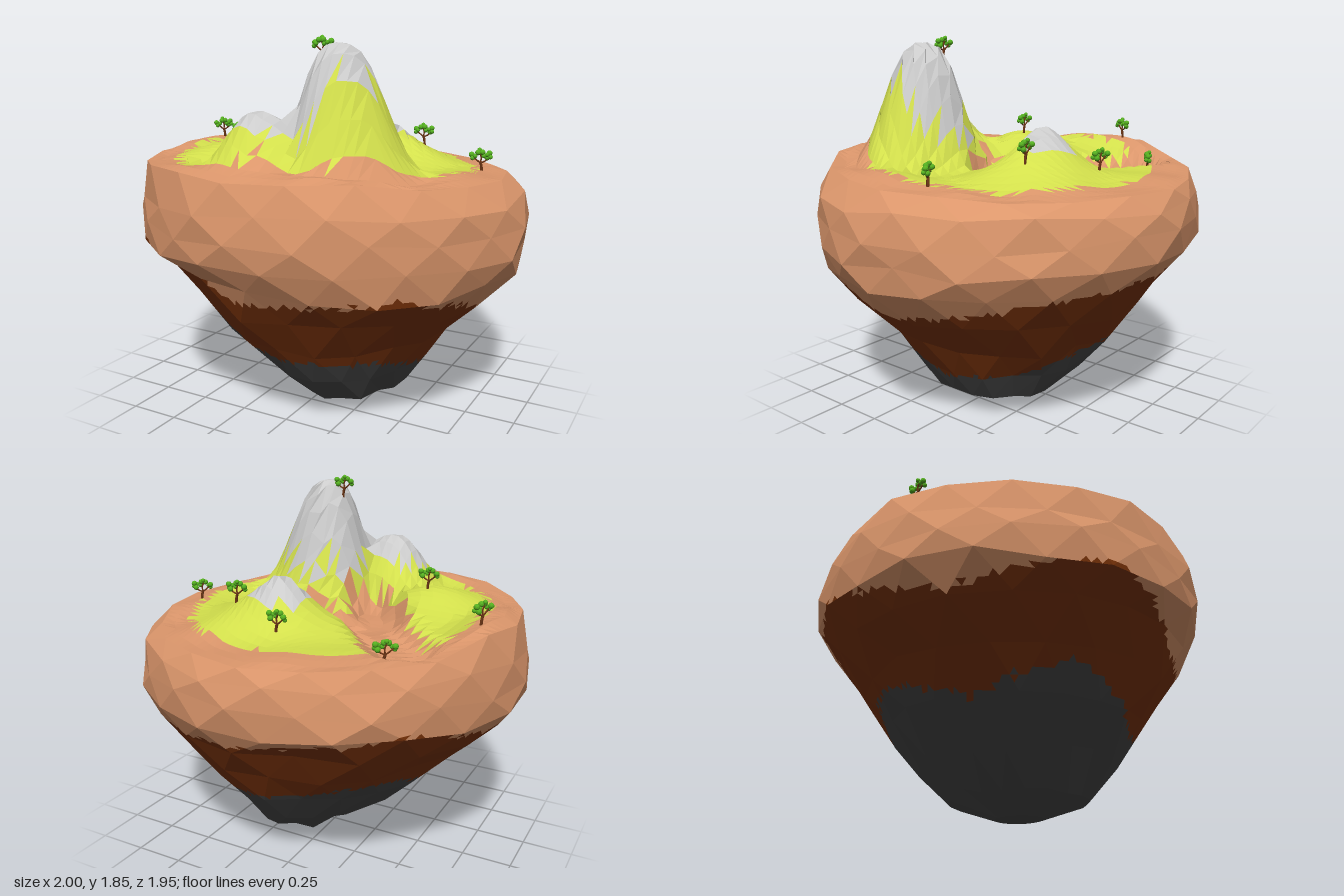
import * as THREE from 'three';
import { mergeGeometries } from 'three/addons/utils/BufferGeometryUtils.js';

// Each rim edge is split SUB times, so the rim meets a square grid of GRID cells a side
const SIDES = 20, SUB = 6, GRID = SIDES * SUB / 4;

const hash = (a, b) => {
  const s = Math.sin(a * 127.1 + b * 311.7) * 43758.5453;
  return s - Math.floor(s);
};
const { lerp, clamp, smoothstep } = THREE.MathUtils;

// Rings from rim to tip: y, then left, right, front and back extents
const RINGS = [
  [1.2, -0.94, 0.88, 0.93, -0.92],
  [1.11, -0.985, 0.965, 0.97, -0.96],
  [1.0, -1, 1, 0.975, -0.975],
  [0.88, -0.99, 1, 0.96, -0.965],
  [0.76, -0.88, 0.97, 0.88, -0.875],
  [0.6, -0.71, 0.83, 0.78, -0.76],
  [0.42, -0.55, 0.64, 0.65, -0.63],
  [0.25, -0.34, 0.52, 0.51, -0.49],
  [0.11, -0.14, 0.43, 0.37, -0.35],
  [0.015, 0.02, 0.23, 0.14, -0.11],
  [0, 0.12, 0.12, 0.01, 0.01],
];

// Mounds: x, z, height, then reach to left, right, front, back, then steepness
const MOUNDS = [
  [0.21, 0.36, 0.6, 0.19, 0.28, 0.25, 0.22, 3],
  [-0.08, 0.55, 0.29, 0.21, 0.28, 0.2, 0.2, 2.3],
  [0.13, -0.3, 0.25, 0.18, 0.25, 0.15, 0.2, 1.6],
  [-0.45, 0.24, 0.11, 0.25, 0.2, 0.2, 0.2, 2],
  [-0.84, -0.1, 0.07, 0.12, 0.15, 0.4, 0.3, 2],
  [0.05, 0.76, 0.07, 0.6, 0.6, 0.15, 0.25, 2],
  [0, 0.7, 0.15, 0.18, 0.18, 0.1, 0.15, 1.6],
  [0.72, 0, 0.04, 0.15, 0.12, 0.5, 0.4, 2],
];

// Ravine centre lines: x1, z1, x2, z2, half width
const RAVINES = [
  [-0.56, -0.42, -0.28, -0.1, 0.15],
  [-0.28, -0.1, 0.16, -0.01, 0.1],
  [-0.28, -0.02, -0.1, 0.2, 0.12],
];

// Bare rock caps: x, z, x radius, z radius
const ROCKS = [
  [0.22, 0.32, 0.21, 0.19], [-0.08, 0.54, 0.18, 0.13],
  [0.13, -0.33, 0.15, 0.13], [0.14, 0.5, 0.13, 0.1],
];

// Distance to the nearest ravine, 1 at its edge
function ravine(x, z) {
  return Math.min(...RAVINES.map(([x1, z1, x2, z2, w]) => {
    const dx = x2 - x1, dz = z2 - z1;
    const t = clamp(((x - x1) * dx + (z - z1) * dz) / (dx * dx + dz * dz), 0, 1);
    return Math.hypot(x - x1 - dx * t, z - z1 - dz * t) / w;
  }));
}

function height(x, z) {
  let mound = 0;
  for (const [cx, cz, h, l, r, f, b, p] of MOUNDS) {
    const d = Math.hypot((x - cx) / (x < cx ? l : r), (z - cz) / (z > cz ? f : b));
    mound = Math.max(mound, h * Math.exp(-(d ** p)));
  }
  const v = 1 - smoothstep(ravine(x, z), 0.4, 1.3);
  const ripple = 0.012 * Math.sin(x * 11 + z * 4) * Math.cos(z * 9 - x * 3);
  return 1.205 + 0.03 * z - 0.02 * x + ripple + mound * (1 - v) - 0.08 * v;
}

// Corner of a ring, slightly uneven; odd rings are turned half a step
function ringCorner(ring, k) {
  const [y, l, r, f, b] = RINGS[ring];
  const i = k % SIDES;
  const a = ((i + (ring % 2) / 2) / SIDES) * Math.PI * 2;
  const uneven = i % 5 === 0 ? 1 : 1 - 0.03 * hash(ring, i);
  const x = (l + r) / 2 + ((r - l) / 2) * Math.cos(a) * uneven;
  const z = (f + b) / 2 + ((f - b) / 2) * Math.sin(a) * uneven;
  const lift = ring < 9 ? 0.05 * (hash(i, ring + 9) - 0.5) : 0;
  return new THREE.Vector3(x, ring === 0 ? height(x, z) : y + lift, z);
}

// Ground point for a corner (a, b) of the square grid, -1 to 1 each way, spread over the rim outline
function groundPoint(a, b) {
  const r = Math.max(Math.abs(a), Math.abs(b));
  if (r === 0) return new THREE.Vector3(0, height(0, 0), 0);
  let turn = Math.abs(a) >= Math.abs(b) ? b / a / 8 + (a < 0 ? 0.5 : 0) : 0.25 - a / b / 8 + (b < 0 ? 0.5 : 0);
  turn = (turn + 1) % 1;
  const s = Math.round(turn * SIDES * 1e6) / 1e6, k = Math.floor(s);
  const rim = ringCorner(0, k).lerp(ringCorner(0, k + 1), s - k);
  if (r > 0.999) return rim;
  return new THREE.Vector3(rim.x * r, height(rim.x * r, rim.z * r), rim.z * r);
}

// Layer boundary heights at eight compass directions, from +x towards +z
const SOIL_TOP = [0.6, 0.76, 0.7, 0.9, 0.76, 0.9, 0.8, 0.74];
const STONE_TOP = [0.22, 0.36, 0.36, 0.56, 0.42, 0.54, 0.44, 0.28];
function around(table, x, z) {
  const t = ((Math.atan2(z, x) / (Math.PI * 2) + 1) % 1) * 8;
  const i = Math.floor(t);
  return lerp(table[i % 8], table[(i + 1) % 8], t - i);
}

// Which layer a face belongs to
function layerOf(c, onTop) {
  const n = hash(c.x * 9, c.z * 9 + c.y) - 0.5;
  if (!onTop) {
    const y = c.y + n * 0.03;
    if (y < around(STONE_TOP, c.x, c.z)) return 'stoneBase';
    return y < around(SOIL_TOP, c.x, c.z) ? 'soil' : 'sand';
  }
  if (ROCKS.some(([x, z, rx, rz]) => Math.hypot((c.x - x) / rx, (c.z - z) / rz) < 1 + n * 0.2)) return 'rockCaps';
  const edge = 0.72 + (c.x < 0 && c.z > -0.3 ? 0.06 : 0) + n * 0.04;
  return Math.hypot(c.x, c.z) < edge && ravine(c.x, c.z) > 1 + n * 0.2 ? 'grass' : 'sand';
}

const COLORS = { sand: 0xdb966b, soil: 0x7c3409, stoneBase: 0x484848, grass: 0xd3e04c, rockCaps: 0xc2c2c2 };
const material = color => new THREE.MeshStandardMaterial({ color, flatShading: true });

function createIsland() {
  const layers = {};
  for (const name in COLORS) layers[name] = [];
  const face = (a, b, c, onTop) => {
    const mid = a.clone().add(b).add(c).divideScalar(3);
    layers[layerOf(mid, onTop)].push(...a, ...b, ...c);
  };

  // Top ground
  const ground = Array.from({ length: GRID + 1 }, (_, i) => Array.from({ length: GRID + 1 },
    (_, j) => groundPoint(2 * i / GRID - 1, 2 * j / GRID - 1)));
  for (let i = 0; i < GRID; i++) {
    for (let j = 0; j < GRID; j++) {
      const a = ground[i][j], b = ground[i][j + 1], c = ground[i + 1][j + 1], d = ground[i + 1][j];
      if ((i < GRID / 2) === (j < GRID / 2)) { face(a, b, d, true); face(b, c, d, true); }
      else { face(a, b, c, true); face(a, c, d, true); }
    }
  }

  // Large flat facet, cut into small pieces so the layer edges come out ragged
  const facet = (a, b, c) => {
    const at = (i, j) => a.clone().multiplyScalar(1 - (i + j) / SUB)
      .addScaledVector(b, i / SUB).addScaledVector(c, j / SUB);
    for (let i = 0; i < SUB; i++) {
      for (let j = 0; i + j < SUB; j++) {
        face(at(i, j), at(i + 1, j), at(i, j + 1), false);
        if (i + j < SUB - 1) face(at(i + 1, j), at(i + 1, j + 1), at(i, j + 1), false);
      }
    }
  };

  // Underside
  for (let ring = 0; ring < RINGS.length - 1; ring++) {
    const last = ring === RINGS.length - 2;
    for (let k = 0; k < SIDES; k++) {
      const a = ringCorner(ring, k), b = ringCorner(ring, k + 1);
      const d = ringCorner(ring + 1, k), c = ringCorner(ring + 1, k + 1);
      facet(a, b, ring % 2 ? c : d);
      if (!last) facet(ring % 2 ? a : b, c, d);
    }
  }

  const island = new THREE.Group();
  island.name = 'island';
  for (const name in layers) {
    const geometry = new THREE.BufferGeometry();
    geometry.setAttribute('position', new THREE.Float32BufferAttribute(layers[name], 3));
    geometry.computeVertexNormals();
    const mesh = new THREE.Mesh(geometry, material(COLORS[name]));
    mesh.name = name;
    island.add(mesh);
  }
  return island;
}

// Small tree: forked trunk and round leaf clumps in a flat fan
const CLUMPS = [
  [-0.042, 0.056, 0.006], [-0.044, 0.072, -0.006], [-0.03, 0.066, 0.01], [-0.016, 0.083, 0.007],
  [-0.006, 0.094, -0.006], [0.006, 0.084, 0.006], [0.012, 0.066, 0.008], [0.032, 0.056, -0.007],
  [0.046, 0.06, 0.006], [0.042, 0.078, -0.003], [0.028, 0.072, 0.008],
];
function createTree() {
  const limb = (r, ...pts) => new THREE.TubeGeometry(
    new THREE.CatmullRomCurve3(pts.map(p => new THREE.Vector3(...p))), 4, r, 5);
  const trunk = new THREE.Mesh(mergeGeometries([
    limb(0.007, [0.006, -0.02, 0], [0.004, 0.015, 0], [-0.002, 0.035, 0]),
    limb(0.004, [-0.002, 0.032, 0], [-0.02, 0.046, 0], [-0.036, 0.06, 0]),
    limb(0.004, [-0.002, 0.032, 0], [0.02, 0.04, 0], [0.038, 0.058, 0]),
    limb(0.004, [-0.002, 0.032, 0], [0.002, 0.06, 0], [-0.01, 0.082, 0]),
  ]), material(0x6a3414));
  trunk.name = 'trunk';
  const leaves = new THREE.Mesh(mergeGeometries(CLUMPS.map((p, i) =>
    new THREE.IcosahedronGeometry(0.011 + 0.003 * (i % 2), 1).translate(...p))), material(0x55b020));
  leaves.name = 'leaves';
  const tree = new THREE.Group();
  tree.add(trunk, leaves);
  return tree;
}

// Tree places: x, z, turn
const TREES = [
  [0.12, 0.33, 0], [-0.42, 0.22, 0], [-0.83, -0.18, 1.1], [0.73, -0.14, 0.5],
  [0.34, -0.37, 0.1], [0, -0.55, -0.15], [-0.52, -0.52, 0.45],
];

export function createModel() {
  const model = new THREE.Group();
  model.name = 'floatingIsland';
  model.add(createIsland());
  TREES.forEach(([x, z, turn], i) => {
    const tree = createTree();
    tree.name = `tree${i + 1}`;
    tree.position.set(x, height(x, z) + 0.005, z);
    tree.rotation.y = turn;
    model.add(tree);
  });
  return model;
}
